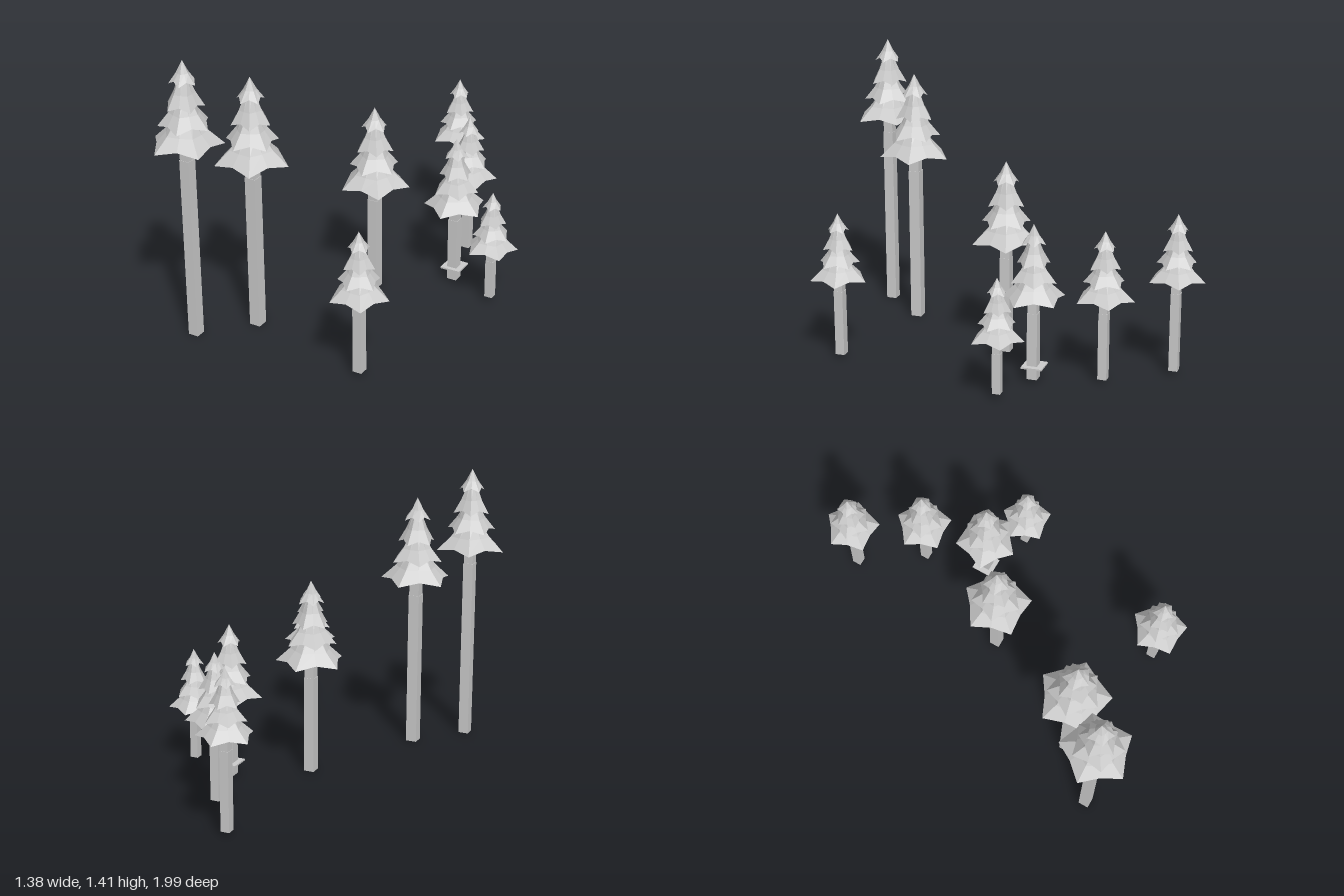
import * as THREE from 'three';

const grey = new THREE.MeshStandardMaterial({ color: 0xcccccc, flatShading: true });
grey.name = 'plain grey';

// x, z, trunk base, trunk joint, skirt tips, treetop, trunk half width, turn
const TREES = [
  [0.02, -0.85, 0.02, 0.415, 0.48, 0.81, 0.022, 0],
  [0.23, -0.555, 0.02, 0.355, 0.42, 0.76, 0.022, -0.1],
  [0.32, -0.235, 0.015, 0.35, 0.42, 0.79, 0.025, Math.PI / 5],
  [0.57, -0.14, 0.03, 0.23, 0.295, 0.6, 0.02, -0.12],
  [0, 0.01, 0, 0.49, 0.57, 0.98, 0.026, 0],
  [-0.31, 0.605, 0, 0.79, 0.87, 1.295, 0.028, 0.13],
  [-0.515, 0.83, 0, 0.925, 1.0, 1.415, 0.026, -0.3],
  [0.345, 0.75, 0.02, 0.35, 0.41, 0.745, 0.023, 0.06],
];

// Foliage tiers for a crown of height 1: tip height, tip radius, top height, top radius
const TIERS = [
  [0.0, 0.425, 0.36, 0.1],
  [0.235, 0.305, 0.58, 0.07],
  [0.46, 0.225, 0.82, 0.05],
  [0.735, 0.16, 1.0, 0.0],
];

// Five-pointed skirt: top ring, narrow waist ring, then tips with raised notches
function tierGeometry([y0, r0, y1, r1], turn) {
  const pos = [], index = [], n = 10;
  const ring = (radius, height) => {
    for (let i = 0; i < n; i++) {
      const a = turn + (i / n) * Math.PI * 2;
      pos.push(Math.sin(a) * radius(i % 2), height(i % 2), -Math.cos(a) * radius(i % 2));
    }
  };
  const mid = r1 + (r0 - r1) * 0.46;
  ring(() => r1, () => y1);
  ring((notch) => mid * (notch ? 0.86 : 1), () => y0 + (y1 - y0) * 0.46);
  ring((notch) => r0 * (notch ? 0.76 : 1), (notch) => y0 + (notch ? 0.045 : 0));
  pos.push(0, y0 + 0.06, 0);
  for (let i = 0; i < n; i++) {
    const j = (i + 1) % n;
    for (let k = 0; k < 2; k++) {
      const u = k * n, l = u + n;
      if (k || r1 > 0) index.push(u + i, u + j, l + j);
      index.push(u + i, l + j, l + i);
    }
    index.push(3 * n, 2 * n + i, 2 * n + j); // underside
  }
  const g = new THREE.BufferGeometry();
  g.setAttribute('position', new THREE.Float32BufferAttribute(pos, 3));
  g.setIndex(index);
  const flat = g.toNonIndexed();
  flat.computeVertexNormals();
  return flat;
}

function box(name, w, y0, y1) {
  const m = new THREE.Mesh(new THREE.BoxGeometry(w, y1 - y0, w), grey);
  m.position.y = (y0 + y1) / 2;
  m.name = name;
  return m;
}

function makeTree([x, z, base, joint, skirt, top, half, turn]) {
  const tree = new THREE.Group();
  const h = top - skirt;
  tree.name = 'tree';
  tree.position.set(x, 0, z);
  tree.add(box('trunk', half * 2, base, joint));
  tree.add(box('upperTrunk', half * 1.84, joint, skirt + h * 0.1));
  TIERS.forEach((t, i) => {
    const m = new THREE.Mesh(tierGeometry(t, turn + i * Math.PI / 5), grey);
    m.name = 'foliageTier';
    m.position.y = skirt;
    m.scale.setScalar(h);
    tree.add(m);
  });
  return tree;
}

export function createModel() {
  const model = new THREE.Group();
  model.name = 'pineGrove';
  TREES.forEach((t) => model.add(makeTree(t)));
  // Thin square collar low on one trunk
  const collar = box('trunkCollar', 0.104, 0.076, 0.084);
  collar.position.x = 0.32;
  collar.position.z = -0.24;
  model.add(collar);
  return model;
}
